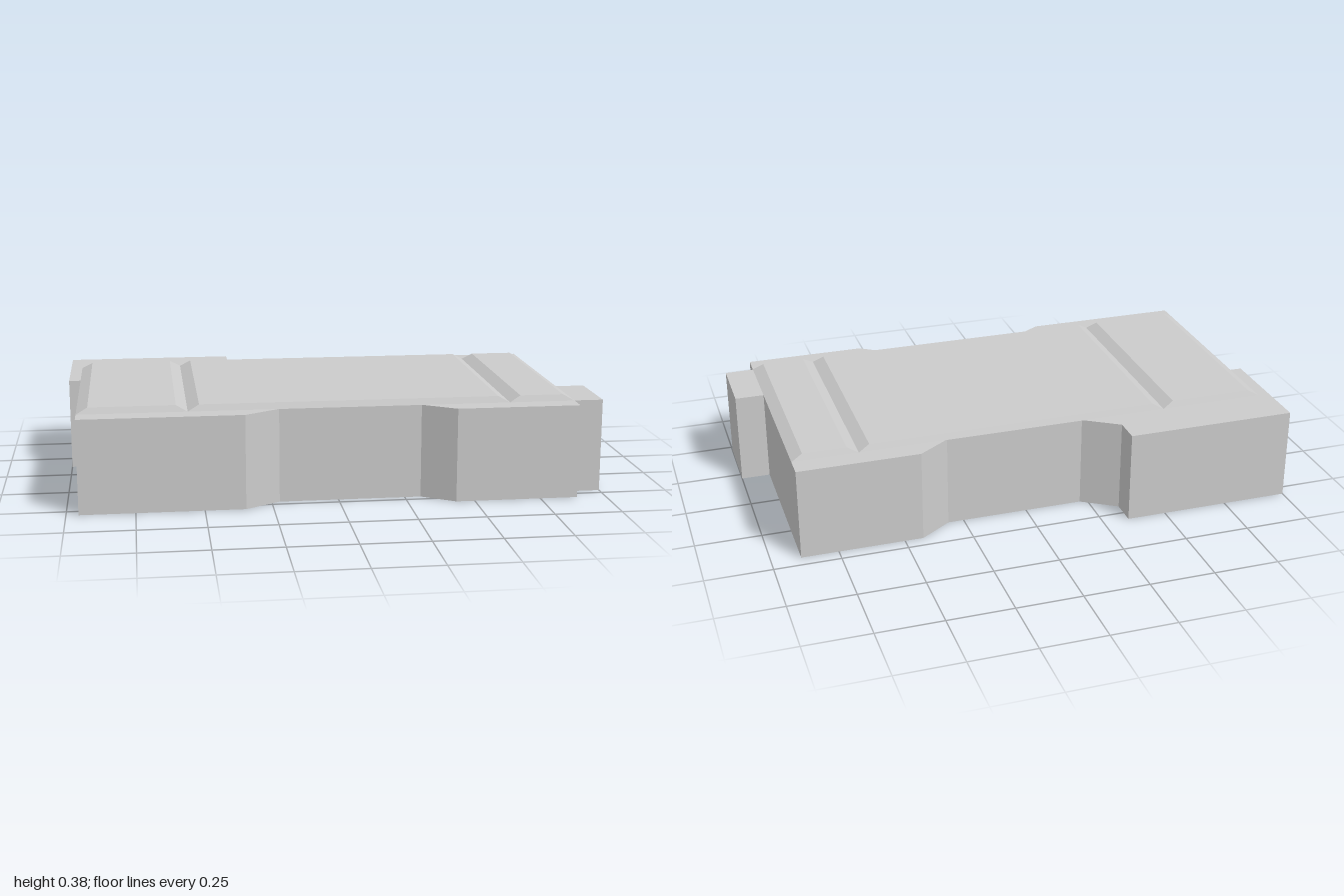
import * as THREE from 'three';

const BODY_TOP = 0.353;
const SLAB_TOP = 0.376;

// Plan outline of the body as x, z pairs
const OUTLINE = [
  [-1, -0.55], [-0.35, -0.55], [-0.35, -0.45], [-0.22, -0.368], [0.31, -0.368],
  [0.43, -0.45], [0.89, -0.45], [0.89, 0.215], [1, 0.215], [1, 0.468],
  [0.89, 0.468], [0.89, 0.548], [0.43, 0.548], [0.31, 0.468], [-0.22, 0.468],
  [-0.35, 0.548], [-0.955, 0.548], [-0.955, -0.12], [-1, -0.12],
];

// Flat slab whose top face is inset on all sides, giving sloped edges
function bevelledSlab(x0, x1, z0, z1, insetX, insetZ) {
  const geo = new THREE.BoxGeometry(1, 1, 1).toNonIndexed();
  const p = geo.attributes.position;
  for (let i = 0; i < p.count; i++) {
    const top = p.getY(i) > 0;
    const ix = top ? insetX : 0;
    const iz = top ? insetZ : 0;
    p.setXYZ(
      i,
      p.getX(i) < 0 ? x0 + ix : x1 - ix,
      top ? SLAB_TOP : BODY_TOP,
      p.getZ(i) < 0 ? z0 + iz : z1 - iz,
    );
  }
  geo.computeVertexNormals();
  return geo;
}

export function createModel() {
  const model = new THREE.Group();
  model.name = 'block';
  const material = new THREE.MeshStandardMaterial({ color: 0xcccccc, flatShading: true });

  const add = (name, geometry) => {
    const mesh = new THREE.Mesh(geometry, material);
    mesh.name = name;
    model.add(mesh);
  };

  // Body: the plan outline raised straight up
  const shape = new THREE.Shape(OUTLINE.map(([x, z]) => new THREE.Vector2(x, -z)));
  const body = new THREE.ExtrudeGeometry(shape, { depth: BODY_TOP, bevelEnabled: false });
  body.rotateX(-Math.PI / 2);
  add('body', body);

  // Three top slabs side by side, meeting in V-shaped grooves
  const slabs = [
    ['rightSlab', -0.955, -0.553],
    ['middleSlab', -0.553, 0.643],
    ['leftSlab', 0.643, 0.89],
  ];
  for (const [name, x0, x1] of slabs) {
    add(name, bevelledSlab(x0, x1, -0.372, 0.47, 0.042, 0.012));
  }

  return model;
}
